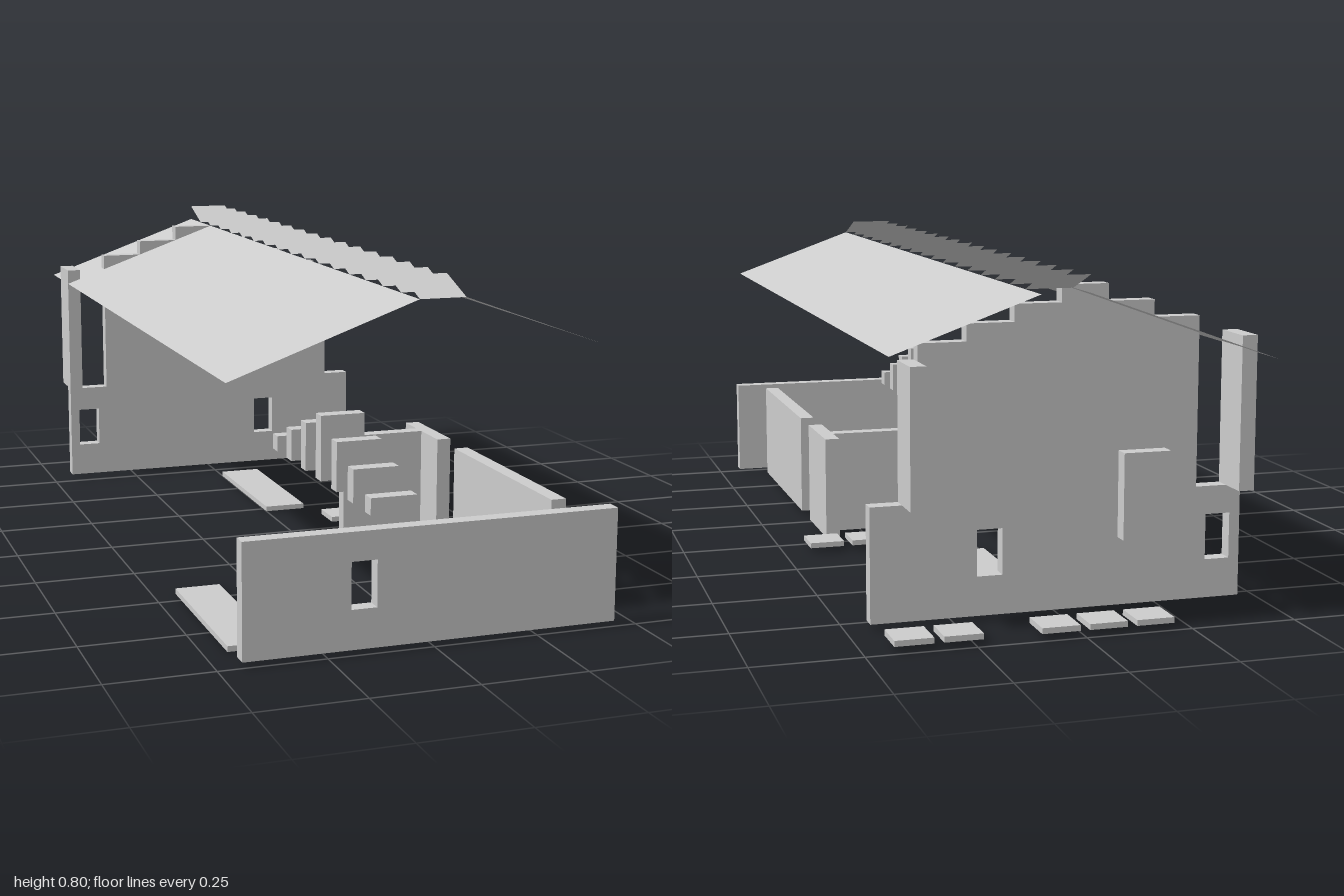
import * as THREE from 'three';

const U = 1 / 9;      // grid cell
const T = U / 3;      // wall thickness
const Y0 = 0.0133;    // floor level
const Y1 = 0.28;      // wall top
const STEP = 0.04;

export function createModel() {
  const group = new THREE.Group();
  const grey = new THREE.MeshStandardMaterial({ color: 0xcccccc, side: THREE.DoubleSide });
  grey.name = 'plain grey';

  const add = (name, geometry) => {
    const mesh = new THREE.Mesh(geometry, grey);
    mesh.name = name;
    group.add(mesh);
    return mesh;
  };

  // box given by its limits
  const box = (name, x0, x1, y0, y1, z0, z1) =>
    add(name, new THREE.BoxGeometry(x1 - x0, y1 - y0, z1 - z0))
      .position.set((x0 + x1) / 2, (y0 + y1) / 2, (z0 + z1) / 2);

  // upright wall from an outline, with window holes centred at the given x
  const wall = (name, outline, windows, z) => {
    const shape = new THREE.Shape(outline.map(([x, y]) => new THREE.Vector2(x, y)));
    for (const x of windows) {
      const hole = [[-0.03, 0.105], [-0.03, 0.213], [0.03, 0.213], [0.03, 0.105]];
      shape.holes.push(new THREE.Path(hole.map(([dx, y]) => new THREE.Vector2(x + dx, y))));
    }
    add(name, new THREE.ExtrudeGeometry(shape, { depth: T, bevelEnabled: false }))
      .position.z = z;
  };

  // flat four-cornered sheet, corners counter-clockwise
  const sheet = (name, a, b, c, d) => {
    const g = new THREE.BufferGeometry();
    g.setAttribute('position', new THREE.Float32BufferAttribute([a, b, c, d].flat(), 3));
    g.setIndex([0, 1, 2, 0, 2, 3]);
    g.computeVertexNormals();
    add(name, g);
  };

  // front wall
  wall('frontWall', [[-4 * U, Y0], [4 * U, Y0], [4 * U, Y1], [-4 * U, Y1]], [-1.5 * U], 1 - T);

  // back wall with stepped gable
  const gable = [[-4 * U, Y0], [4 * U, Y0], [4 * U, Y1], [3 * U, Y1]];
  const tops = [0.64, 0.68, 0.72, 0.76, 0.72, 0.68];
  tops.forEach((y, i) => gable.push([(3 - i) * U, y], [(2 - i) * U, y]));
  gable.push([-3 * U, Y1], [-4 * U, Y1]);
  wall('backWall', gable, [1.5 * U, -3.5 * U], -7 * U - T);

  // corner posts and the board behind the back wall
  box('leftPost', 3 * U, 3 * U + T, Y1, 0.6, -8 * U, -7 * U);
  box('rightPost', -4 * U, -4 * U + T, Y1, 0.64, -8 * U, -7 * U);
  box('backBoard', -2 * U, -U, 0.193, 0.392, -8 * U - T, -8 * U);

  // side walls and partition
  box('sideWallFront', 3 * U, 3 * U + T, Y0, Y1, 3 * U, 8 * U);
  box('sideWallMiddle', 3 * U, 3 * U + T, Y0, Y1, 0, 2 * U);
  box('partition', U, 3 * U, Y0, Y1, U - T, U);

  // row of upright slabs, rising then falling
  for (let i = 0; i < 7; i++) {
    const z = (8 - i) * U;
    box('slab', -U, 0, Y1, Y1 + STEP * (4 - Math.abs(3 - i)), z - T, z);
  }

  // floor strips
  box('floorStrip', -4 * U, -3 * U, 0, Y0, 4 * U, 8 * U);
  box('floorStrip', 0, U, 0, Y0, -6 * U, -2 * U);

  // square paving tiles, in grid cells
  const gap = U * 0.1;
  const tiles = [[3, -1], [2, -1], [1, -1], [3, -9], [2, -9], [0, -9], [-1, -9], [-2, -9]];
  for (const [i, k] of tiles) {
    box('pavingTile', i * U + gap, (i + 1) * U - gap, Y0, 2 * Y0,
      k * U + gap, (k + 1) * U - gap);
  }

  // roof slopes
  const zf = 8 * U, zb = -1;
  sheet('roofRight', [-4 * U, 0.6, zf], [0, 0.76, zf], [0, 0.76, zb], [-4 * U, 0.6, zb]);
  sheet('roofLeft', [U, 0.76, zf], [4 * U, 0.64, zf], [4 * U, 0.64, zb], [U, 0.76, zb]);

  // tilted ridge tiles
  for (let i = 0; i < 17; i++) {
    const z = (8 - i) * U;
    sheet('ridgeTile', [0, 0.76, z], [U, 0.76, z], [U, 0.8, z - U], [0, 0.8, z - U]);
  }

  return group;
}
